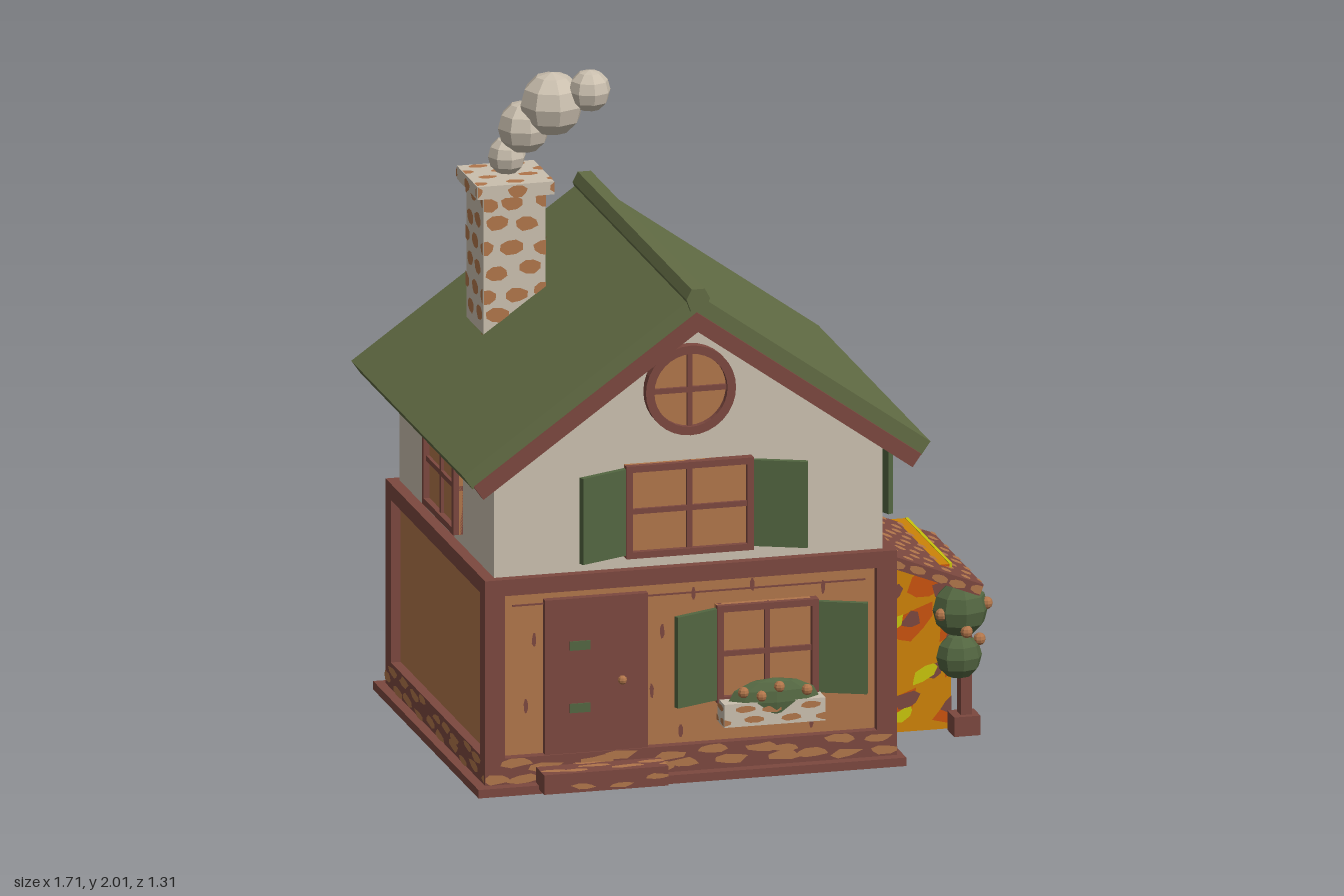
import * as THREE from 'three';

const paint = (name, color) => Object.assign(new THREE.MeshStandardMaterial({ color }), { name });

export function createModel() {
  const model = new THREE.Group();
  model.name = 'cottage';
  const cream = paint('cream plaster', 0xcabfae);
  const maroon = paint('maroon timber', 0x7c483f);
  const brown = paint('warm brown', 0xb0754a);
  const roofGreen = paint('roof green', 0x626c44);
  const leafGreen = paint('shutter green', 0x536641);
  const amber = paint('amber', 0xcc8208);
  const orange = paint('orange', 0xc9520f);
  const yellow = paint('yellow', 0xc8c40c);

  let seed = 7;
  const rand = () => (seed = (seed * 16807) % 2147483647) / 2147483647;

  function add(name, geometry, material, parent = model) {
    const mesh = new THREE.Mesh(geometry, material);
    mesh.name = name;
    parent.add(mesh);
    return mesh;
  }
  // Box given as [x0, x1, y0, y1, z0, z1]
  function box(name, mat, b, parent = model) {
    const mesh = add(name, new THREE.BoxGeometry(b[1] - b[0], b[3] - b[2], b[5] - b[4]), mat, parent);
    mesh.position.set((b[0] + b[1]) / 2, (b[2] + b[3]) / 2, (b[4] + b[5]) / 2);
    return mesh;
  }
  function ball(name, mat, r, x, y, z, parent = model) {
    const geometry = new THREE.SphereGeometry(r, 8, 6).toNonIndexed();
    geometry.computeVertexNormals();
    const mesh = add(name, geometry, mat, parent);
    mesh.position.set(x, y, z);
    return mesh;
  }

  // Flat irregular patches in staggered rows, clipped to a w by h rectangle
  function patches(w, h, o) {
    const cols = Math.max(1, Math.round(w / o.cell[0])), rows = Math.max(1, Math.round(h / o.cell[1]));
    const jit = o.jitter ?? 0.25, tilt = o.tilt ?? 0, pos = [];
    const clip = (v, m) => Math.max(-m / 2, Math.min(m / 2, v));
    for (let r = 0; r < rows; r++) for (let c = 0; c <= cols; c++) {
      if (rand() > (o.keep ?? 1)) continue;
      const cx = ((c + (r % 2 ? 0.5 : 0) + (rand() - 0.5) * jit) / cols - 0.5) * w;
      const cy = ((r + 0.5 + (rand() - 0.5) * jit) / rows - 0.5) * h;
      const ring = [];
      for (let i = 0; i < 8; i++) {
        const a = (i + 0.5) * Math.PI / 4, k = 1 + (rand() - 0.5) * jit;
        const u = Math.cos(a) * o.r[0] * k, v = Math.sin(a) * o.r[1] * k;
        ring.push([clip(cx + u * Math.cos(tilt) - v * Math.sin(tilt), w), clip(cy + u * Math.sin(tilt) + v * Math.cos(tilt), h)]);
      }
      for (let i = 1; i < 7; i++) for (const p of [ring[0], ring[i], ring[i + 1]]) pos.push(p[0], p[1], 0);
    }
    const g = new THREE.BufferGeometry();
    g.setAttribute('position', new THREE.Float32BufferAttribute(pos, 3));
    g.setAttribute('normal', new THREE.Float32BufferAttribute(pos.map((_, i) => (i % 3 === 2 ? 1 : 0)), 3));
    return g;
  }
  // Lay patches over chosen faces of a box: f front, r right, b back, l left, u up, d down
  function speckle(name, mat, b, faces, o, parent = model) {
    const w = b[1] - b[0], h = b[3] - b[2], d = b[5] - b[4], off = o.off ?? 0.003, q = Math.PI / 2;
    const c = [(b[0] + b[1]) / 2, (b[2] + b[3]) / 2, (b[4] + b[5]) / 2];
    const table = {
      f: [w, h, 0, 0, 0, 0, d / 2 + off], b: [w, h, 0, 2 * q, 0, 0, -d / 2 - off],
      r: [d, h, 0, q, w / 2 + off, 0, 0], l: [d, h, 0, -q, -w / 2 - off, 0, 0],
      u: [w, d, -q, 0, 0, h / 2 + off, 0], d: [w, d, q, 0, 0, -h / 2 - off, 0],
    };
    for (const f of faces) {
      const [fw, fh, rx, ry, x, y, z] = table[f];
      const mesh = add(name, patches(fw, fh, o), mat, parent);
      mesh.rotation.set(rx, ry, 0);
      mesh.position.set(c[0] + x, c[1] + y, c[2] + z);
    }
  }

  // Stone base and doorstep
  const slab = [-0.8, 0.51, 0.004, 0.03, -0.6, 0.59], plinth = [-0.77, 0.49, 0.03, 0.11, -0.57, 0.555];
  const step = [-0.615, -0.235, 0.018, 0.078, 0.5, 0.65];
  const stones = { cell: [0.13, 0.042], r: [0.046, 0.014], jitter: 0.6 };
  box('baseSlab', maroon, slab);
  speckle('undersideStones', brown, slab, 'd', { cell: [0.12, 0.1], r: [0.037, 0.026], jitter: 0.7 });
  box('plinth', maroon, plinth);
  speckle('plinthStones', brown, plinth, 'frbl', stones);
  box('doorstep', maroon, step);
  speckle('stepStones', brown, step, 'f', { ...stones, r: [0.035, 0.009] });
  speckle('stepStones', brown, step, 'u', { ...stones, keep: 0.6 });

  // Ground floor: panels in a timber frame
  const panel = [-0.74, 0.46, 0.11, 0.62, -0.54, 0.525];
  box('lowerWall', brown, panel);
  speckle('panelMarks', maroon, panel, 'frb', { cell: [0.19, 0.1], r: [0.007, 0.022], keep: 0.7, jitter: 0.3 });
  for (const z of [0.529, -0.544]) box('panelSeam', maroon, [-0.68, 0.4, 0.568, 0.573, z - 0.002, z + 0.002]);
  box('topBeam', maroon, [-0.77, 0.49, 0.61, 0.66, -0.57, 0.555]);
  for (const x of [-0.77, 0.43]) for (const z of [-0.57, 0.495])
    box('cornerPost', maroon, [x, x + 0.06, 0.1, 0.62, z, z + 0.06]);

  // Upper floor with gables
  const extrude = (pts, z0, z1) => new THREE.ExtrudeGeometry(
    new THREE.Shape(pts.map(p => new THREE.Vector2(p[0], p[1]))), { depth: z1 - z0, bevelEnabled: false }).translate(0, 0, z0);
  const cx = -0.14, apex = 1.515, slope = 0.71, half = 0.715;
  add('upperWall', extrude([[-0.735, 0.64], [0.455, 0.64], [0.455, 1.04], [cx, 1.46], [-0.735, 1.04]], -0.54, 0.525), cream);

  // Roof: a bent slab with gable boards beneath its ends
  const ang = Math.atan(slope), sn = Math.sin(ang), cs = Math.cos(ang), eave = apex - half * slope;
  function chevron(d0, d1, z0, z1, cut = 0) {
    const w = half - cut, y = eave + cut * slope;
    const at = (s, d) => [cx + s * (w - sn * d), y - cs * d];
    return extrude([at(-1, d0), at(-1, d1), [cx, apex - d1 / cs], at(1, d1), at(1, d0), [cx, apex - d0 / cs]], z0, z1);
  }
  add('roof', chevron(0, 0.05, -0.645, 0.622), roofGreen);
  add('frontGableBoard', chevron(0.045, 0.092, 0.61, 0.635, 0.005), maroon);
  add('backGableBoard', chevron(0.045, 0.092, -0.658, -0.633, 0.005), maroon);
  add('ridgeCap', extrude([[cx - 0.02, 1.535], [cx - 0.036, 1.505], [cx - 0.022, 1.467], [cx + 0.022, 1.467],
    [cx + 0.036, 1.505], [cx + 0.02, 1.535]], -0.65, 0.637), roofGreen);

  // Chimney and smoke
  const stack = [-0.58, -0.39, 1.15, 1.64, -0.355, -0.165], cap = [-0.605, -0.37, 1.625, 1.665, -0.375, -0.14];
  const bricks = { cell: [0.095, 0.066], r: [0.035, 0.023] };
  box('chimney', cream, stack);
  speckle('chimneyBricks', brown, stack, 'frbl', bricks);
  box('chimneyCap', cream, cap);
  speckle('capBricks', brown, cap, 'frblu', { ...bricks, r: [0.03, 0.018] });
  for (const [r, x, y, z] of [[0.058, -0.483, 1.72, -0.26], [0.08, -0.44, 1.815, -0.225],
    [0.097, -0.365, 1.892, -0.185], [0.064, -0.265, 1.94, -0.13]]) ball('smokePuff', cream, r, x, y, z);

  // Windows with glazing bars and half-open shutters
  function makeWindow(w, h, x, y, z, turn, shutters, shutterLength = 0.17) {
    const g = new THREE.Group(), t = 0.02;
    g.name = 'window';
    g.position.set(x, y, z);
    g.rotation.y = turn;
    box('pane', brown, [-w / 2, w / 2, -h / 2, h / 2, -0.01, 0.012], g);
    for (const s of [-1, 1]) {
      box('frameSide', maroon, [s * (w - t) / 2 - t / 2, s * (w - t) / 2 + t / 2, -h / 2, h / 2, -0.01, 0.03], g);
      box('frameRail', maroon, [-w / 2, w / 2, s * (h - t) / 2 - t / 2, s * (h - t) / 2 + t / 2, -0.01, 0.03], g);
      if (!shutters) continue;
      const leaf = box('shutter', leafGreen, [0, shutterLength, -h / 2 + 0.01, h / 2 - 0.01, 0, 0.018], g);
      leaf.rotation.y = -s * 0.4;
      leaf.position.set(s * (w / 2 - 0.005 + Math.cos(0.4) * shutterLength / 2), 0, 0.012 + Math.sin(0.4) * shutterLength / 2);
    }
    box('glazingBar', maroon, [-0.008, 0.008, -h / 2, h / 2, 0, 0.022], g);
    box('glazingBar', maroon, [-w / 2, w / 2, -0.008, 0.008, 0, 0.022], g);
    model.add(g);
  }
  makeWindow(0.39, 0.285, -0.142, 0.837, 0.525, 0, true);
  makeWindow(0.355, 0.285, 0.455, 0.837, -0.002, Math.PI / 2, true);
  makeWindow(0.355, 0.285, -0.735, 0.837, -0.002, -Math.PI / 2, false);
  makeWindow(0.31, 0.3, 0.095, 0.38, 0.53, 0, true, 0.155);

  // Round attic window
  const attic = new THREE.Group();
  attic.name = 'roundWindow';
  attic.position.set(cx, 1.2, 0.525);
  model.add(attic);
  add('roundPane', new THREE.CylinderGeometry(0.12, 0.12, 0.02, 16).rotateX(Math.PI / 2), brown, attic);
  const hoop = new THREE.Shape().absarc(0, 0, 0.138, 0, Math.PI * 2);
  hoop.holes.push(new THREE.Path().absarc(0, 0, 0.112, 0, Math.PI * 2, true));
  add('roundFrame', new THREE.ExtrudeGeometry(hoop, { depth: 0.03, bevelEnabled: false, curveSegments: 16 }), maroon, attic);
  box('roundBar', maroon, [-0.008, 0.008, -0.12, 0.12, 0, 0.02], attic);
  box('roundBar', maroon, [-0.12, 0.12, -0.008, 0.008, 0, 0.02], attic);

  // Door with small inlays and knob
  box('door', maroon, [-0.585, -0.27, 0.1, 0.585, 0.51, 0.55]);
  for (const y of [0.44, 0.248]) box('doorInlay', leafGreen, [-0.51, -0.447, y - 0.014, y + 0.014, 0.548, 0.554]);
  ball('doorKnob', brown, 0.014, -0.35, 0.325, 0.555);

  // Flower box
  const planter = [-0.055, 0.255, 0.172, 0.243, 0.54, 0.618];
  box('flowerBox', cream, planter);
  speckle('flowerBoxBricks', brown, planter, 'frl', { cell: [0.1, 0.036], r: [0.033, 0.011] });
  ball('flowerLeaves', leafGreen, 1, 0.105, 0.24, 0.585).scale.set(0.14, 0.066, 0.04);
  for (const [x, y] of [[0.005, 0.275], [0.06, 0.26], [0.115, 0.285], [0.2, 0.27]]) ball('flower', brown, 0.017, x, y, 0.612);

  // Lean-to: mottled stack, posts and sloping tiled roof
  const store = [0.47, 0.742, 0.004, 0.51, -0.26, 0.24];
  box('mottledStack', amber, store);
  const blot = { cell: [0.16, 0.13], tilt: 0.6, jitter: 0.6 };
  speckle('orangePatches', orange, store, 'frbd', { ...blot, r: [0.078, 0.042], keep: 0.8, off: 0.002 });
  speckle('brownPatches', maroon, store, 'frbd', { ...blot, r: [0.036, 0.024], keep: 0.7, off: 0.004 });
  speckle('yellowPatches', yellow, store, 'frbd', { ...blot, r: [0.042, 0.018], keep: 0.7, off: 0.006 });
  box('stackEdge', yellow, [0.736, 0.745, 0.46, 0.512, -0.26, 0.24]);
  for (const z of [0.28, -0.165]) {
    box('leanToPost', maroon, [0.755, 0.79, 0, 0.46, z - 0.02, z + 0.02]);
    box('postFoot', maroon, [0.73, 0.81, 0, 0.06, z - 0.04, z + 0.04]);
  }
  box('leanToBeam', maroon, [0.755, 0.79, 0.435, 0.475, -0.225, 0.32]);
  const awning = new THREE.Group(), tiles = [-0.178, 0.178, -0.036, 0, -0.23, 0.335];
  awning.name = 'leanToRoof';
  awning.position.set(0.65, 0.532, 0);
  awning.rotation.z = -0.375;
  model.add(awning);
  box('tileBed', maroon, tiles, awning);
  speckle('roofTiles', brown, tiles, 'ud', { cell: [0.055, 0.062], r: [0.017, 0.02] }, awning);
  speckle('tileEnds', brown, tiles, 'frb', { cell: [0.07, 0.036], r: [0.026, 0.013] }, awning);

  // Climbing plant on the front post
  ball('bush', leafGreen, 0.085, 0.757, 0.385, 0.288).scale.z = 0.85;
  ball('bush', leafGreen, 0.07, 0.753, 0.24, 0.288).scale.z = 0.85;
  for (const [x, y, z] of [[0.834, 0.4, 0.3], [0.815, 0.288, 0.29], [0.69, 0.38, 0.32], [0.76, 0.33, 0.348], [0.8, 0.385, 0.23]])
    ball('blossom', brown, 0.019, x, y, z);

  return model;
}
